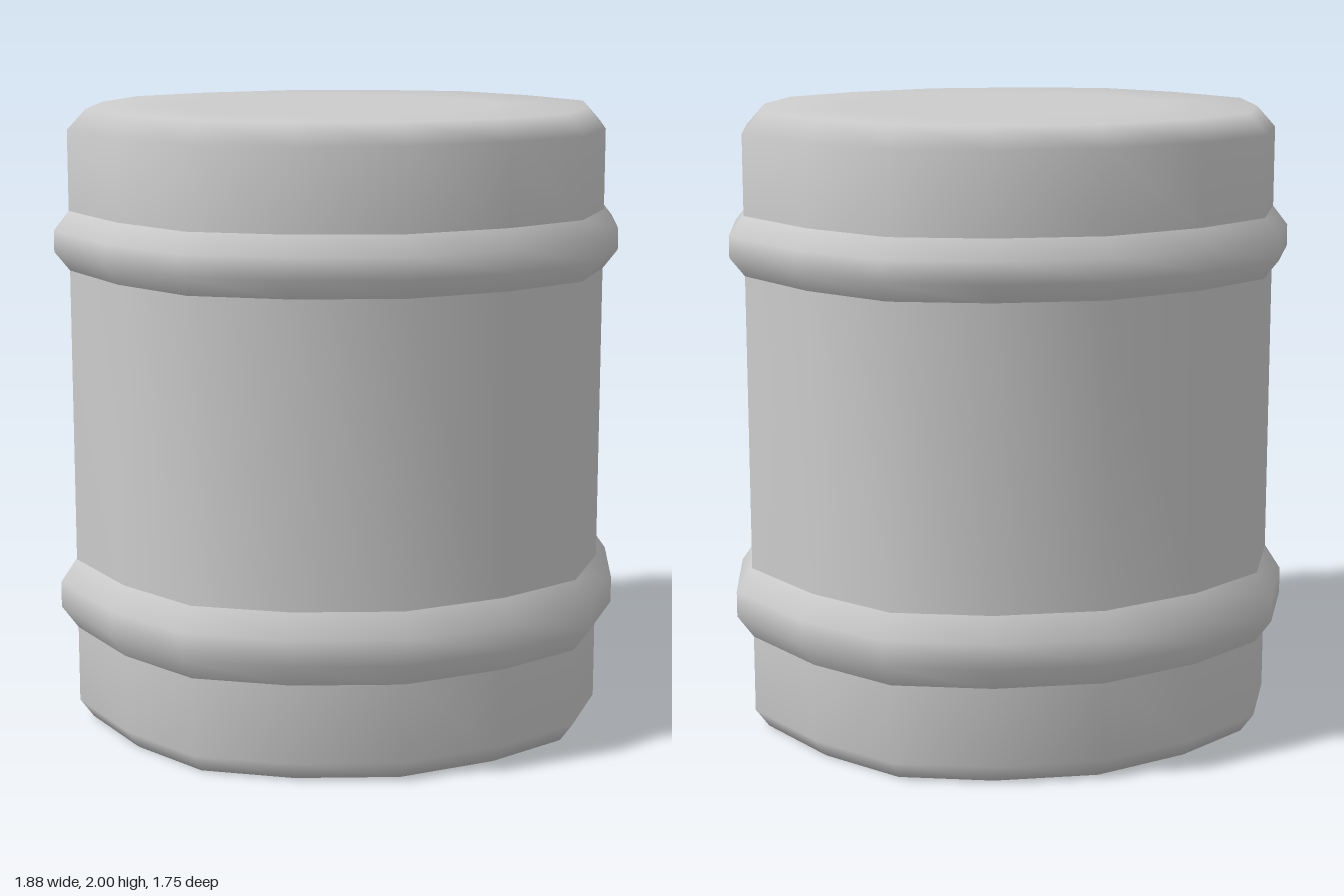
import * as THREE from 'three';
import { mergeVertices } from 'three/addons/utils/BufferGeometryUtils.js';

// One quarter of the slightly uneven, 16-sided outline: [x, z] from front to side
const QUARTER = [[0, 0.825], [0.335, 0.755], [0.615, 0.615], [0.78, 0.345], [0.885, 0]];
const SIDES = 16;

// Outline point i of 16, mirrored from the quarter
function outline(i) {
  const k = i % SIDES;
  const half = k <= 8 ? k : SIDES - k;
  const [x, z] = QUARTER[half <= 4 ? half : 8 - half];
  return [k <= 8 ? x : -x, half <= 4 ? z : -z];
}

// Sweep a profile of [outline scale, height] pairs around the outline, smooth shaded
function sweep(name, profile, material) {
  const points = profile.map(([s, y]) => new THREE.Vector2(s, y));
  let geo = new THREE.LatheGeometry(points, SIDES);
  const pos = geo.attributes.position;
  for (let v = 0; v < pos.count; v++) {
    const [x, z] = outline(Math.floor(v / profile.length));
    const s = profile[v % profile.length][0];
    pos.setX(v, x * s);
    pos.setZ(v, z * s);
  }
  geo.deleteAttribute('uv');
  geo.deleteAttribute('normal');
  geo = mergeVertices(geo, 1e-5);
  geo.computeVertexNormals();
  const mesh = new THREE.Mesh(geo, material);
  mesh.name = name;
  return mesh;
}

export function createModel() {
  const group = new THREE.Group();
  group.name = 'barrel';
  const material = new THREE.MeshStandardMaterial({ color: 0xcccccc });
  const hoopMaterial = new THREE.MeshStandardMaterial({ color: 0xcccccc, side: THREE.DoubleSide });

  // Drum body with bevelled ends and closed caps
  group.add(sweep('body', [
    [0, 0], [0.6, 0], [0.95, 0], [1, 0.06], [1, 0.31], [1, 0.54],
    [1, 1.49], [1, 1.68], [1, 1.935], [0.932, 2], [0.6, 2], [0, 2],
  ], material));

  // Raised hoops with bevelled flanks
  for (const [name, y0, y1, scale] of [['lowerHoop', 0.31, 0.54, 1.06], ['upperHoop', 1.49, 1.68, 1.055]]) {
    const bevel = (y1 - y0) * 0.32;
    group.add(sweep(name, [[1, y0], [scale, y0 + bevel], [scale, y1 - bevel], [1, y1]], hoopMaterial));
  }
  return group;
}
